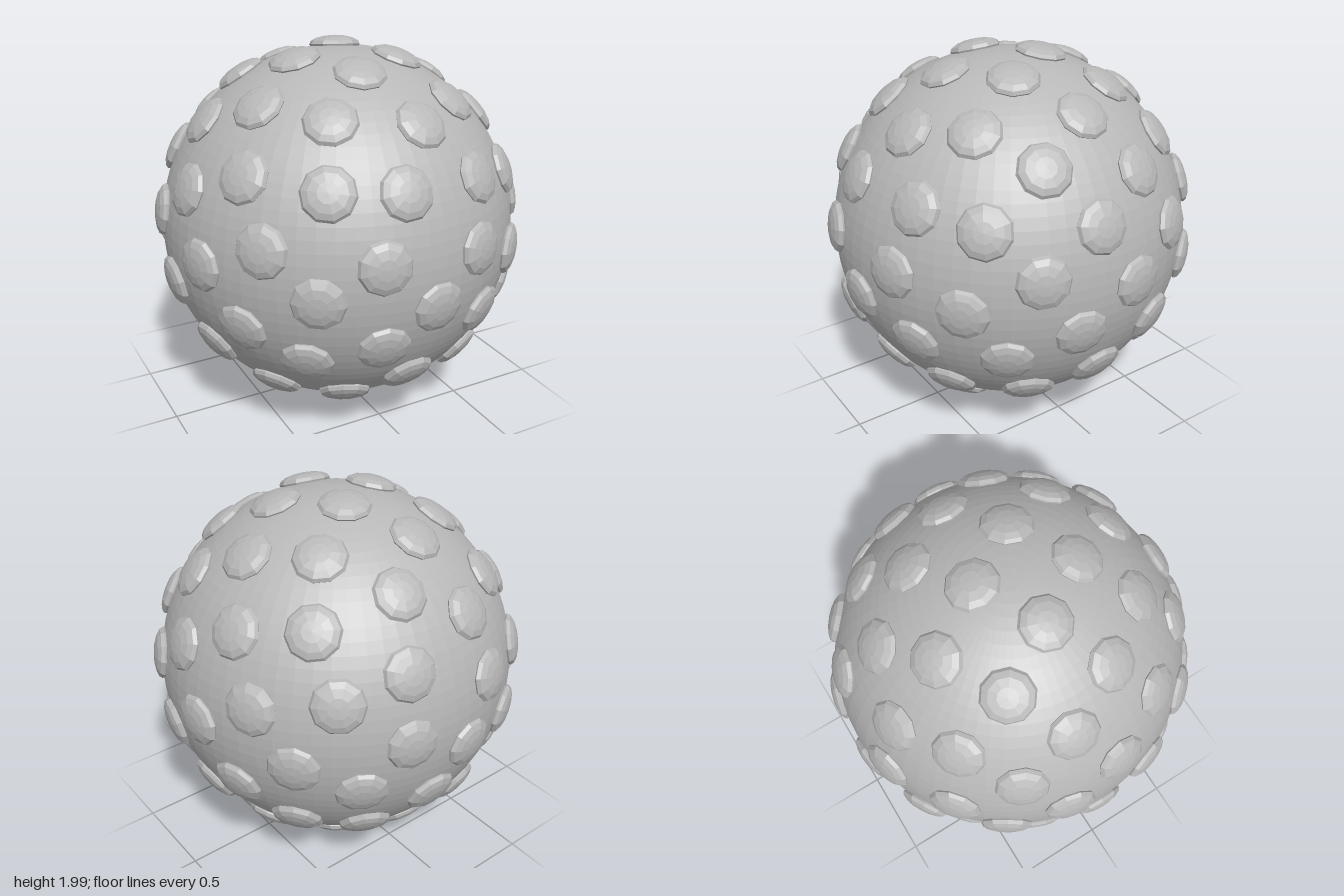
import * as THREE from 'three';

const CORE_RADIUS = 0.954;
const BUMP_RADIUS = 0.138;
const BUMP_HEIGHT = 0.048;
const BUMP_COUNT = 80;
const GOLDEN_ANGLE = Math.PI * (3 - Math.sqrt(5));

// Evenly spread directions: a golden-angle spiral running from front to back
function spiralDirection(i) {
  const z = 1 - (2 * (i + 0.5)) / BUMP_COUNT;
  const r = Math.sqrt(1 - z * z);
  const a = -GOLDEN_ANGLE * (i + 0.5);
  return new THREE.Vector3(r * Math.cos(a), r * Math.sin(a), z);
}

export function createModel() {
  const group = new THREE.Group();
  group.name = 'studdedBall';

  const grey = new THREE.MeshStandardMaterial({ color: 0xb8b8b8, flatShading: true });
  grey.name = 'grey';

  // Round core
  const core = new THREE.Mesh(new THREE.SphereGeometry(CORE_RADIUS, 64, 48), grey);
  core.name = 'core';
  core.position.y = 1;
  group.add(core);

  // Ten-sided lens bumps, half sunk into the core
  const bumpGeometry = new THREE.SphereGeometry(1, 10, 8);
  bumpGeometry.scale(BUMP_RADIUS, BUMP_HEIGHT, BUMP_RADIUS);

  const bumps = new THREE.Group();
  bumps.name = 'bumps';
  bumps.position.y = 1;
  const up = new THREE.Vector3(0, 1, 0);
  for (let i = 0; i < BUMP_COUNT; i++) {
    const direction = spiralDirection(i);
    const bump = new THREE.Mesh(bumpGeometry, grey);
    bump.name = 'bump';
    bump.quaternion.setFromUnitVectors(up, direction);
    bump.position.copy(direction).multiplyScalar(CORE_RADIUS);
    bumps.add(bump);
  }
  group.add(bumps);

  return group;
}
